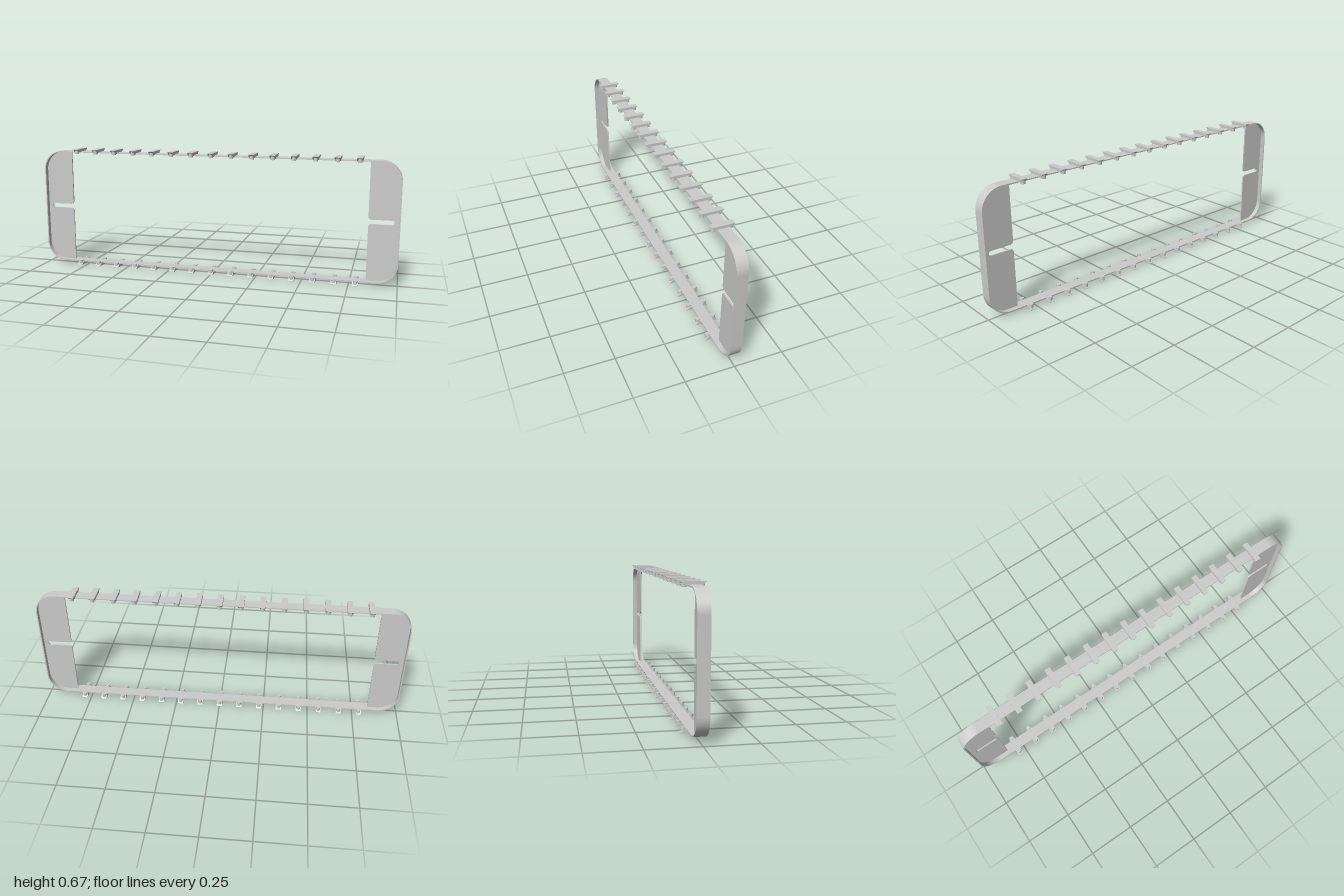
import * as THREE from 'three';
import { toCreasedNormals } from 'three/addons/utils/BufferGeometryUtils.js';

const MID = 0.3365;      // height of the horizontal mirror line
const HALF_H = 0.322;    // half height of the band
const RADIUS = 0.11;     // band corner radius
const WALL = 0.006;      // band thickness
const material = new THREE.MeshStandardMaterial({ color: 0xcccccc });

function add(parent, name, geometry) {
  const mesh = new THREE.Mesh(geometry, material);
  mesh.name = name;
  parent.add(mesh);
  return mesh;
}

// Extrusion centred on z = 0, smooth around the curves
function extrude(shape, depth) {
  const g = new THREE.ExtrudeGeometry(shape, { depth, bevelEnabled: false, curveSegments: 16 });
  g.translate(0, 0, -depth / 2);
  return toCreasedNormals(g, 0.6);
}

// Rounded rectangle centred on the origin
function roundedRect(path, w, h, r) {
  path.moveTo(w, -h + r);
  path.lineTo(w, h - r);
  path.absarc(w - r, h - r, r, 0, Math.PI / 2, false);
  path.lineTo(-w + r, h);
  path.absarc(-w + r, h - r, r, Math.PI / 2, Math.PI, false);
  path.lineTo(-w, -h + r);
  path.absarc(-w + r, -h + r, r, Math.PI, Math.PI * 1.5, false);
  path.lineTo(w - r, -h);
  path.absarc(w - r, -h + r, r, Math.PI * 1.5, Math.PI * 2, false);
  return path;
}

// Thin end web with a round-ended slot open towards the middle
function endPlateShape() {
  const inner = 0.838, outer = 0.997, h = HALF_H - 0.003, r = RADIUS - 0.003;
  const slot = 0.012, slotEnd = 0.97, lip = 0.016;
  const s = new THREE.Shape();
  s.moveTo(inner, -h);
  s.lineTo(outer - r, -h);
  s.absarc(outer - r, -h + r, r, -Math.PI / 2, 0, false);
  s.lineTo(outer, h - r);
  s.absarc(outer - r, h - r, r, 0, Math.PI / 2, false);
  s.lineTo(inner, h);
  s.lineTo(inner, slot + lip);
  s.absarc(inner + lip, slot + lip, lip, Math.PI, Math.PI * 1.5, false);
  s.lineTo(slotEnd - slot, slot);
  s.absarc(slotEnd - slot, 0, slot, Math.PI / 2, -Math.PI / 2, true);
  s.lineTo(inner + lip, -slot);
  s.absarc(inner + lip, -slot - lip, lip, Math.PI / 2, Math.PI, false);
  s.lineTo(inner, -h);
  return s;
}

export function createModel() {
  const model = new THREE.Group();
  model.name = 'bandFrame';

  // Closed rounded band
  const outline = roundedRect(new THREE.Shape(), 1, HALF_H, RADIUS);
  outline.holes.push(roundedRect(new THREE.Path(), 1 - WALL, HALF_H - WALL, RADIUS - WALL));
  add(model, 'band', extrude(outline, 0.059)).position.y = MID;

  // End plates
  const plate = extrude(endPlateShape(), 0.008);
  for (const side of [1, -1]) {
    const mesh = add(model, side > 0 ? 'leftEndPlate' : 'rightEndPlate', plate);
    mesh.position.y = MID;
    if (side < 0) mesh.rotation.y = Math.PI;
  }

  // Cross bar: tapered profile running across the band
  const profile = new THREE.Shape([
    [-0.036, 0.3165], [0.036, 0.3165], [0.058, 0.3345], [0.058, 0.3365],
    [-0.058, 0.3365], [-0.058, 0.3345],
  ].map(([z, y]) => new THREE.Vector2(z, y)));
  const bar = extrude(profile, 0.03);
  bar.rotateY(Math.PI / 2);
  const peg = new THREE.CylinderGeometry(0.0115, 0.0115, 0.024, 16);

  // Rows of clips along the top and, turned over, along the bottom
  for (const row of ['top', 'bottom']) {
    const group = new THREE.Group();
    group.name = row + 'Clips';
    group.position.y = MID;
    if (row === 'bottom') group.rotation.x = Math.PI;
    for (let i = -7; i <= 7; i++) {
      const clip = new THREE.Group();
      clip.name = 'clip';
      clip.position.x = i * 0.1123;
      add(clip, 'crossBar', bar);
      for (const z of [-0.0415, 0.0415]) add(clip, 'peg', peg).position.set(0, 0.3225, z);
      group.add(clip);
    }
    model.add(group);
  }
  return model;
}
